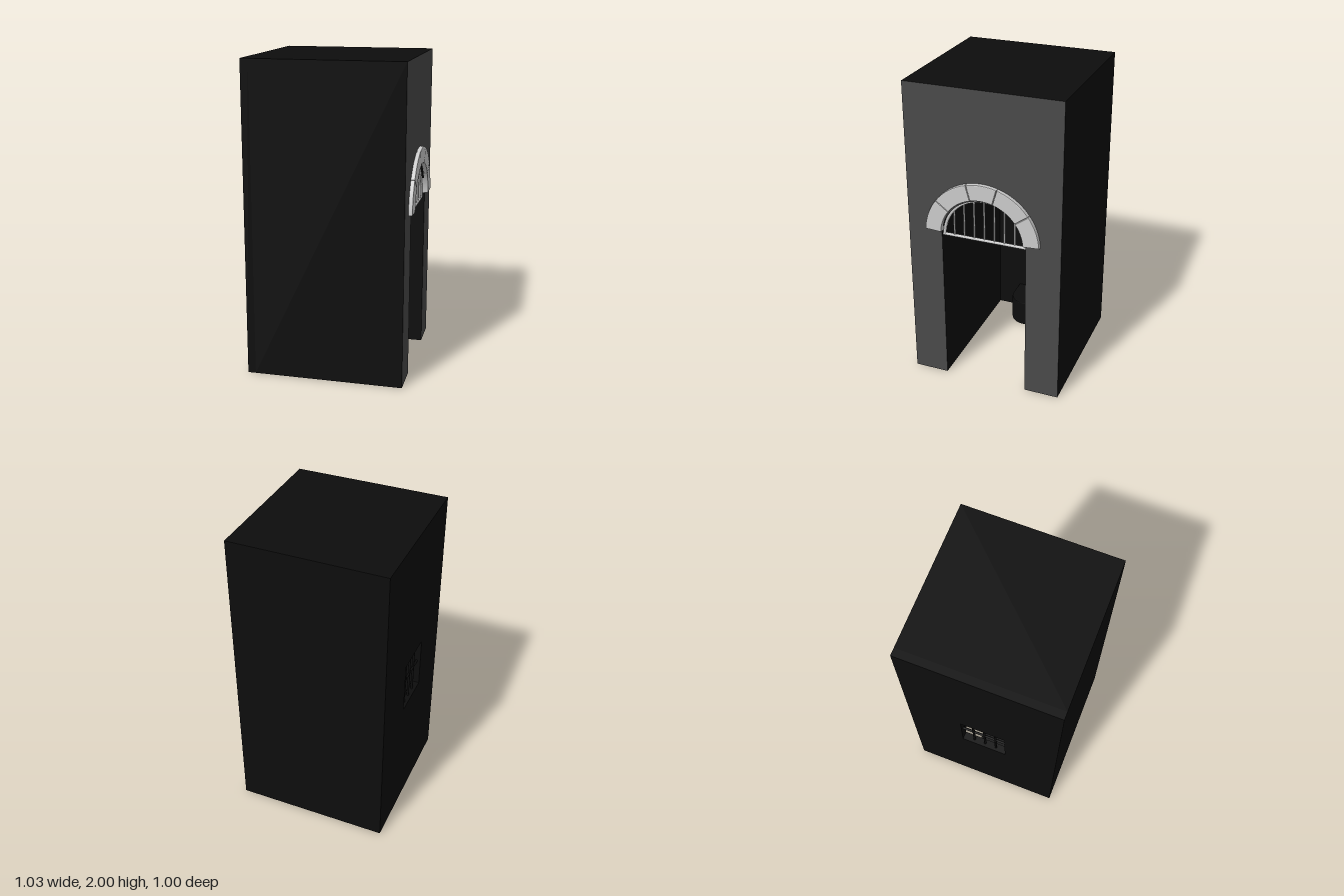
import * as THREE from 'three';

const dark = new THREE.MeshStandardMaterial({ color: 0x0d0d0d });
const facade = new THREE.MeshStandardMaterial({ color: 0x4a4a4a });
const grey = new THREE.MeshStandardMaterial({ color: 0xcccccc });

// Local frame: x across the doorway, y up, z out through the doorway.
const ARCH_Y = 1.03, HALF = 0.275, FRONT = 0.487, BACK = -0.513;

function add(parent, name, geometry, material, x = 0, y = 0, z = 0) {
  const mesh = new THREE.Mesh(geometry, material);
  mesh.name = name;
  mesh.position.set(x, y, z);
  parent.add(mesh);
  return mesh;
}

function bar(parent, name, length, radius, material, x, y, z, horizontal = false) {
  const mesh = add(parent, name, new THREE.CylinderGeometry(radius, radius, length, 8), material, x, y, z);
  if (horizontal) mesh.rotation.z = Math.PI / 2;
}

function rectShape(x0, y0, x1, y1, Type = THREE.Shape) {
  return new Type([[x0, y0], [x1, y0], [x1, y1], [x0, y1]].map(p => new THREE.Vector2(...p)));
}

// One wedge-shaped arch stone between two angles in degrees
function stoneGeometry(from, to) {
  const bevel = 0.006, a = THREE.MathUtils.degToRad(from), b = THREE.MathUtils.degToRad(to);
  const inner = 0.268 + bevel, outer = 0.373 - bevel;
  const shape = new THREE.Shape();
  shape.absarc(0, 0, outer, a + 0.02, b - 0.02, false);
  shape.absarc(0, 0, inner, b - 0.026, a + 0.026, true);
  shape.closePath();
  return new THREE.ExtrudeGeometry(shape, {
    depth: 0.1, bevelEnabled: true, bevelThickness: bevel, bevelSize: bevel, bevelSegments: 2, curveSegments: 8,
  });
}

export function createModel() {
  const root = new THREE.Group();
  root.name = 'cellBlock';
  const cell = new THREE.Group();
  cell.name = 'cell';
  cell.rotation.y = Math.PI / 2;
  root.add(cell);

  // Block with an arched passage that is open at the ground
  const outline = new THREE.Shape();
  outline.moveTo(-0.5, 0);
  outline.lineTo(-HALF, 0);
  outline.lineTo(-HALF, ARCH_Y);
  outline.absarc(0, ARCH_Y, HALF, Math.PI, 0, true);
  outline.lineTo(HALF, 0);
  outline.lineTo(0.5, 0);
  outline.lineTo(0.5, 2);
  outline.lineTo(-0.5, 2);
  outline.closePath();
  const wallZ = BACK + 0.05;
  add(cell, 'walls', new THREE.ExtrudeGeometry(outline, {
    depth: FRONT - wallZ, bevelEnabled: false, curveSegments: 24,
  }), [facade, dark], 0, 0, wallZ);

  // Back wall with the window opening
  const backWall = rectShape(-0.5, 0, 0.5, 2);
  backWall.holes.push(rectShape(-0.155, 0.8, 0.14, 1.14, THREE.Path));
  add(cell, 'backWall', new THREE.ExtrudeGeometry(backWall, { depth: 0.05, bevelEnabled: false }), dark, 0, 0, BACK);

  // Window bars
  for (const i of [-1, 0, 1]) {
    bar(cell, 'windowBar', 0.34, 0.008, dark, -0.0075 + i * 0.075, 0.97, BACK + 0.025);
  }
  bar(cell, 'windowCrossbar', 0.295, 0.008, dark, -0.0075, 0.978, BACK + 0.025, true);

  // Arch stones around the doorway
  const joints = [3, 36, 74, 105, 143, 177];
  for (let i = 0; i < joints.length - 1; i++) {
    add(cell, 'archStone', stoneGeometry(joints[i], joints[i + 1]), grey, -0.003, 1.05, 0.407);
  }

  // Grille in the arch: rim, sill rail and upright bars
  const grilleZ = 0.465, rim = 0.265;
  add(cell, 'grilleRim', new THREE.TorusGeometry(rim, 0.01, 8, 32, Math.PI), grey, 0, ARCH_Y + 0.005, grilleZ);
  bar(cell, 'grilleRail', 2 * HALF, 0.01, grey, 0, ARCH_Y + 0.005, grilleZ, true);
  for (let i = -3; i <= 3; i++) {
    const x = i * 0.066, height = Math.sqrt(rim * rim - x * x);
    bar(cell, 'grilleBar', height, 0.006, grey, x, ARCH_Y + height / 2, grilleZ);
  }

  // Low round-fronted seat against the back wall
  const seat = new THREE.Shape();
  seat.moveTo(0.115, -wallZ);
  seat.lineTo(-0.115, -wallZ);
  seat.lineTo(-0.115, 0.34);
  seat.absarc(0, 0.34, 0.115, Math.PI, 2 * Math.PI, false);
  seat.closePath();
  const seatGeometry = new THREE.ExtrudeGeometry(seat, {
    depth: 0.17, bevelEnabled: true, bevelThickness: 0.005, bevelSize: 0.005, bevelSegments: 2, curveSegments: 20,
  });
  add(cell, 'seat', seatGeometry, dark, 0, 0.005, 0).rotation.x = -Math.PI / 2;

  return root;
}
